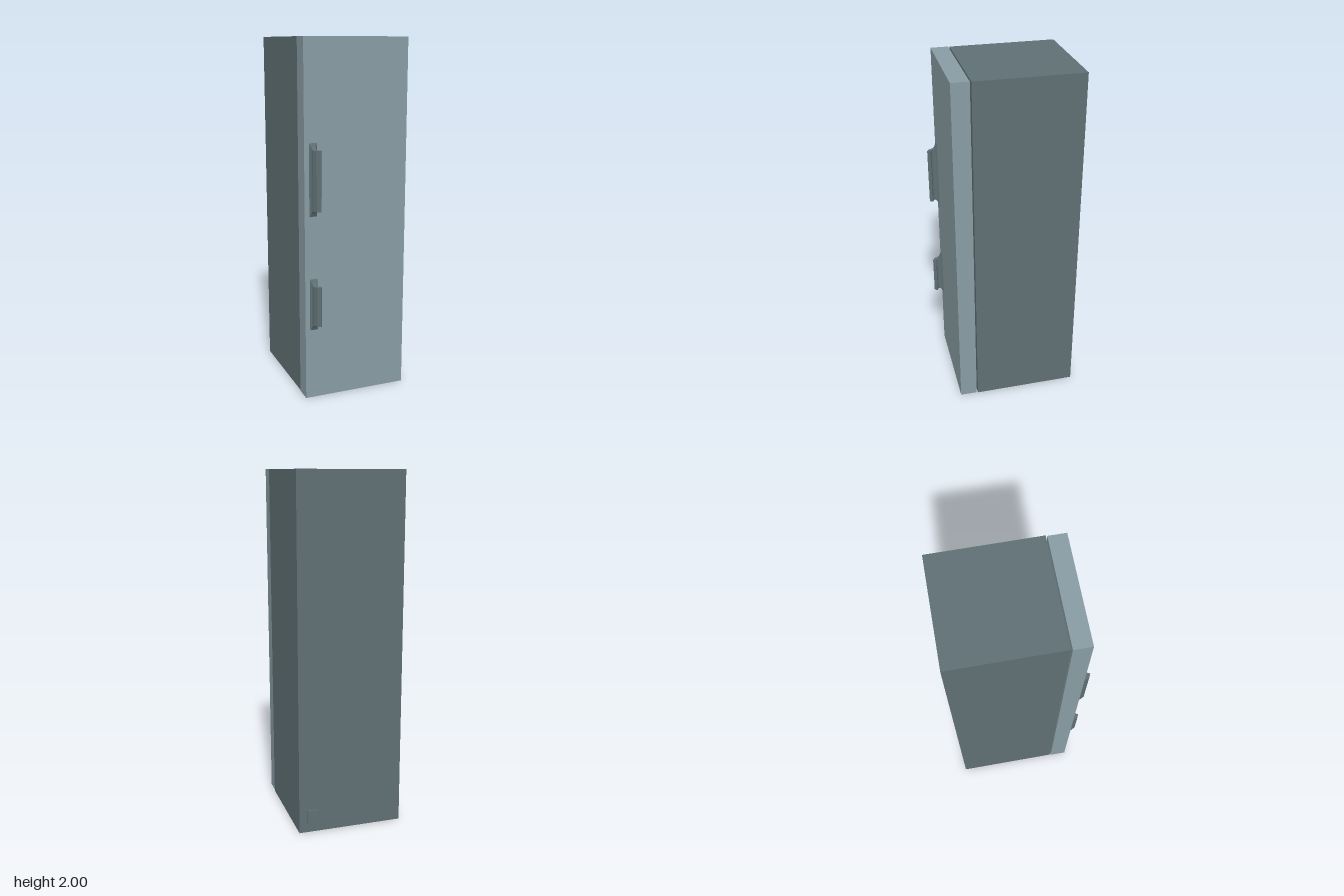
import * as THREE from 'three';

const doorPaint = new THREE.MeshStandardMaterial({ color: 0x889ca3 });
doorPaint.name = 'light blue grey';
const bodyPaint = new THREE.MeshStandardMaterial({ color: 0x5f6f74 });
bodyPaint.name = 'dark blue grey';

// Box given by its lower and upper limits on each axis
function addBox(parent, name, material, [x0, x1], [y0, y1], [z0, z1]) {
  const mesh = new THREE.Mesh(new THREE.BoxGeometry(x1 - x0, y1 - y0, z1 - z0), material);
  mesh.position.set((x0 + x1) / 2, (y0 + y1) / 2, (z0 + z1) / 2);
  mesh.name = name;
  parent.add(mesh);
}

// Flared foot: rectangles shrinking away from the door, joined in a loop
function footGeometry(bottom, top) {
  // z, left x, right x, overhang above and below the grip
  const rings = [
    [0.327, -0.276, -0.231, 0.035],
    [0.335, -0.268, -0.238, 0.018],
    [0.343, -0.264, -0.242, 0.006],
    [0.352, -0.263, -0.243, 0],
  ].map(([z, x0, x1, o]) => [
    [x0, bottom - o, z], [x1, bottom - o, z], [x1, top + o, z], [x0, top + o, z],
  ]);
  const points = [];
  for (let k = 0; k < rings.length - 1; k++) {
    for (let i = 0; i < 4; i++) {
      const j = (i + 1) % 4;
      const a = rings[k][i], b = rings[k][j], c = rings[k + 1][j], d = rings[k + 1][i];
      points.push(...a, ...b, ...c, ...a, ...c, ...d);
    }
  }
  const geometry = new THREE.BufferGeometry();
  geometry.setAttribute('position', new THREE.Float32BufferAttribute(points, 3));
  geometry.computeVertexNormals();
  return geometry;
}

// Hooked grip: an angular strip profile in x and z, extruded along y
function gripGeometry(bottom, top) {
  const profile = [
    [-0.263, 0.352], [-0.243, 0.352], [-0.237, 0.361], [-0.221, 0.368],
    [-0.23, 0.386], [-0.251, 0.376],
  ].map(([x, z]) => new THREE.Vector2(x, z));
  const geometry = new THREE.ExtrudeGeometry(new THREE.Shape(profile), {
    depth: top - bottom, bevelEnabled: false,
  });
  geometry.rotateX(Math.PI / 2);
  geometry.translate(0, top, 0);
  return geometry;
}

function addHandle(parent, name, bottom, top) {
  const handle = new THREE.Group();
  handle.name = name;
  const foot = new THREE.Mesh(footGeometry(bottom, top), bodyPaint);
  foot.name = 'handleFoot';
  const grip = new THREE.Mesh(gripGeometry(bottom, top), bodyPaint);
  grip.name = 'handleGrip';
  handle.add(foot, grip);
  parent.add(handle);
}

export function createModel() {
  const group = new THREE.Group();
  group.name = 'refrigerator';

  // Cabinet and door, with a narrow open gap between them
  addBox(group, 'cabinet', bodyPaint, [-0.3, 0.302], [0, 2], [-0.378, 0.222]);
  addBox(group, 'door', doorPaint, [-0.303, 0.298], [0, 2], [0.229, 0.327]);

  // Power socket low on the back
  addBox(group, 'powerSocket', bodyPaint, [0.197, 0.255], [0.058, 0.132], [-0.388, -0.378]);

  // Long upper and short lower handles
  addHandle(group, 'upperHandle', 1.088, 1.416);
  addHandle(group, 'lowerHandle', 0.44, 0.666);

  return group;
}
